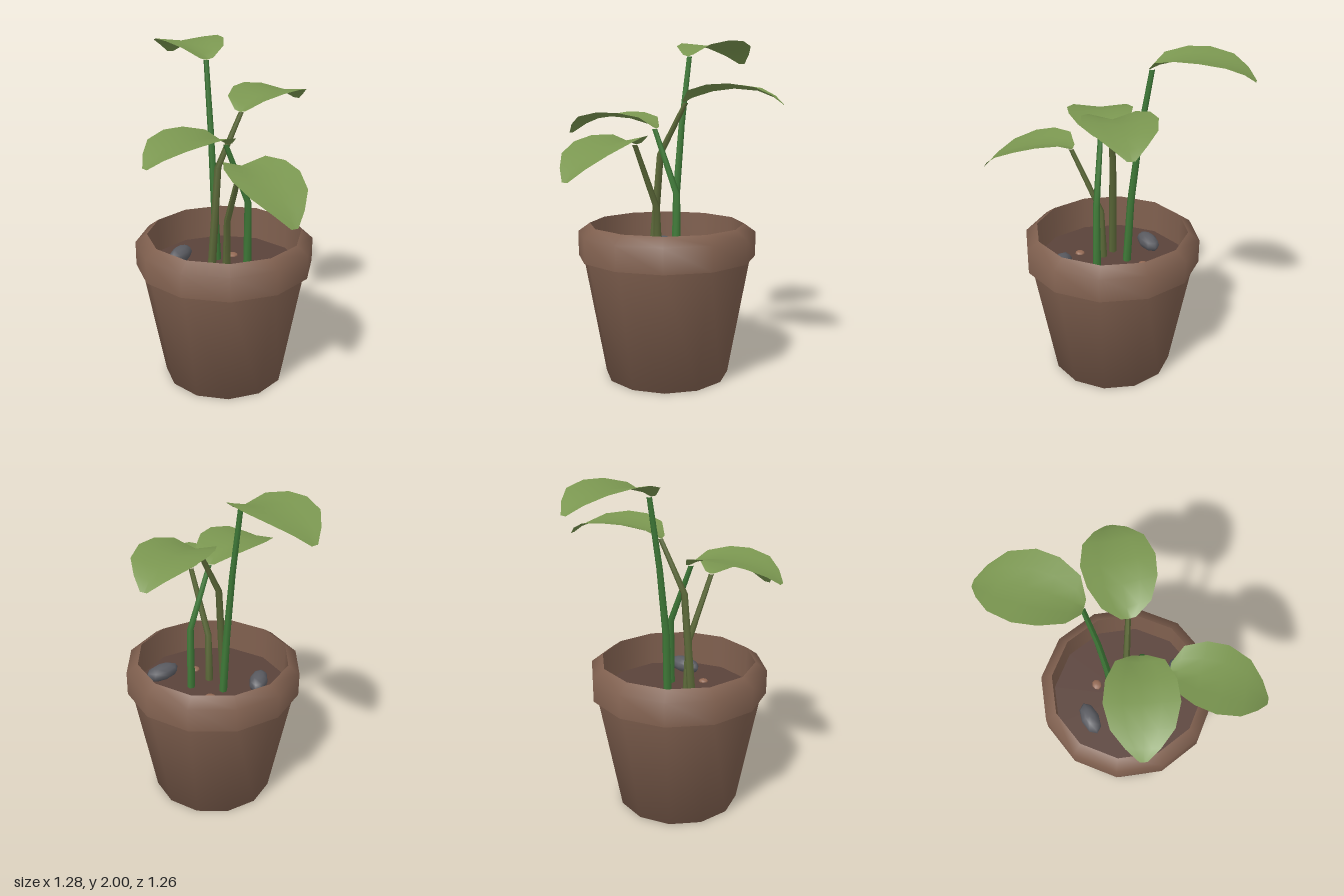
import * as THREE from 'three';

const mat = (name, color, side = THREE.FrontSide) => {
  const m = new THREE.MeshStandardMaterial({ color, side });
  m.name = name;
  return m;
};

export function createModel() {
  const clay = mat('clay', 0x80604f);
  const soilMat = mat('soil', 0x5a423a);
  const pebbleMat = mat('light clay pebble', 0x946a55);
  const stoneMat = mat('grey stone', 0x5a5b61);
  const leafMat = mat('leaf green', 0x7a9650, THREE.DoubleSide);
  const stemGreen = mat('stem green', 0x3f7a38);
  const stemOlive = mat('stem olive', 0x5b6838);

  const model = new THREE.Group();
  model.name = 'pottedPlant';
  const add = (parent, name, geometry, material) => {
    const mesh = new THREE.Mesh(geometry, material);
    mesh.name = name;
    parent.add(mesh);
    return mesh;
  };

  // Twelve-sided pot: separate profiles keep the rim edges sharp
  const pot = new THREE.Group();
  pot.name = 'pot';
  pot.position.set(-0.007, 0, 0.032);
  model.add(pot);
  const profiles = {
    potBody: [[0, 0], [0.37, 0], [0.505, 0.74]],
    rimUnderside: [[0.49, 0.725], [0.53, 0.725]],
    rim: [[0.53, 0.725], [0.53, 0.87], [0.46, 0.92]],
    innerWall: [[0.46, 0.92], [0.46, 0.7]],
  };
  for (const [name, pts] of Object.entries(profiles)) {
    add(pot, name, new THREE.LatheGeometry(pts.map(p => new THREE.Vector2(...p)), 12), clay);
  }
  const soil = add(pot, 'soil', new THREE.CircleGeometry(0.461, 12), soilMat);
  soil.rotation.x = -Math.PI / 2;
  soil.position.y = 0.71;

  // Stones and pebbles resting on the soil: position, half sizes, turn
  const rocks = [
    ['stone', stoneMat, [-0.28, 0.745, 0.09], [0.056, 0.05, 0.107], 0.03],
    ['stone', stoneMat, [0.322, 0.745, 0.028], [0.06, 0.05, 0.118], -0.62],
    ['pebble', pebbleMat, [-0.155, 0.71, -0.11], [0.03, 0.015, 0.035], 0],
    ['pebble', pebbleMat, [-0.03, 0.71, -0.115], [0.038, 0.015, 0.035], 0],
    ['pebble', pebbleMat, [0.15, 0.71, 0.17], [0.03, 0.015, 0.03], 0],
  ];
  for (const [name, material, pos, size, turn] of rocks) {
    const rock = add(model, name, new THREE.SphereGeometry(1, 8, 6), material);
    rock.position.set(...pos);
    rock.scale.set(...size);
    rock.rotation.y = turn;
  }

  // Tapered stem: rings of a cylinder moved onto the path points
  const stemGeometry = (path, r0, r1) => {
    const n = path.length - 1;
    const g = new THREE.CylinderGeometry(1, 1, n, 6, n, true);
    const p = g.attributes.position;
    for (let i = 0; i < p.count; i++) {
      const k = Math.round(p.getY(i) + n / 2);
      const [x, y, z] = path[k];
      const r = r0 + (r1 - r0) * k / n;
      p.setXYZ(i, x + p.getX(i) * r, y, z + p.getZ(i) * r);
    }
    g.computeVertexNormals();
    return g;
  };

  // Arched leaf blade from base to tip: [along, half width, arch, edge lift]
  const rows = [
    [-0.02, 0.04, 0, 0.01], [0.07, 0.13, 0.03, 0.04], [0.28, 0.185, 0.068, 0.035],
    [0.5, 0.2, 0.085, 0.025], [0.74, 0.165, 0.075, 0.018], [0.9, 0.09, 0.04, 0.01],
    [1, 0.02, 0, 0],
  ];
  const across = [-1, -0.5, 0, 0.5, 1];
  const leafGeometry = (base, tip) => {
    const a = new THREE.Vector3(...base), d = new THREE.Vector3(...tip).sub(a);
    const sideways = new THREE.Vector3(d.z, 0, -d.x).normalize();
    const pos = [], index = [], m = across.length;
    rows.forEach(([t, w, arch, lift], r) => {
      across.forEach((u, c) => {
        const v = a.clone().addScaledVector(d, t).addScaledVector(sideways, u * w);
        pos.push(v.x, v.y + arch + lift * Math.abs(u), v.z);
        if (r && c) {
          const i = r * m + c;
          index.push(i - m - 1, i - 1, i, i - m - 1, i, i - m);
        }
      });
    });
    // Corner order gives upward-facing blades
    for (let i = 0; i < index.length; i += 3) {
      [index[i + 1], index[i + 2]] = [index[i + 2], index[i + 1]];
    }
    const g = new THREE.BufferGeometry();
    g.setAttribute('position', new THREE.Float32BufferAttribute(pos, 3));
    g.setIndex(index);
    g.computeVertexNormals();
    return g;
  };

  // Four shoots, each a stem path ending under a leaf
  const shoots = [
    ['tallShoot', stemGreen, [-0.63, 1.88, -0.445],
      [[-0.085, 0.7, -0.02], [-0.105, 1.1, -0.025], [-0.14, 1.5, -0.055], [-0.19, 1.905, -0.1]]],
    ['backShoot', stemOlive, [0.165, 1.62, -0.63],
      [[-0.05, 0.7, 0.12], [-0.03, 1.33, 0.07], [0.045, 1.63, -0.08]]],
    ['frontShoot', stemGreen, [-0.17, 1.45, 0.62],
      [[0.115, 0.7, -0.03], [0.115, 1.11, -0.03], [0.035, 1.48, 0.1]]],
    ['sideShoot', stemOlive, [0.63, 1.23, 0.53],
      [[0.03, 0.7, 0.08], [0.04, 1.02, 0.09], [0.18, 1.395, 0.205]]],
  ];
  for (const [name, material, tip, path] of shoots) {
    const shoot = new THREE.Group();
    shoot.name = name;
    model.add(shoot);
    add(shoot, 'stem', stemGeometry(path, 0.025, 0.015), material);
    add(shoot, 'leaf', leafGeometry(path[path.length - 1], tip), leafMat);
  }
  return model;
}
